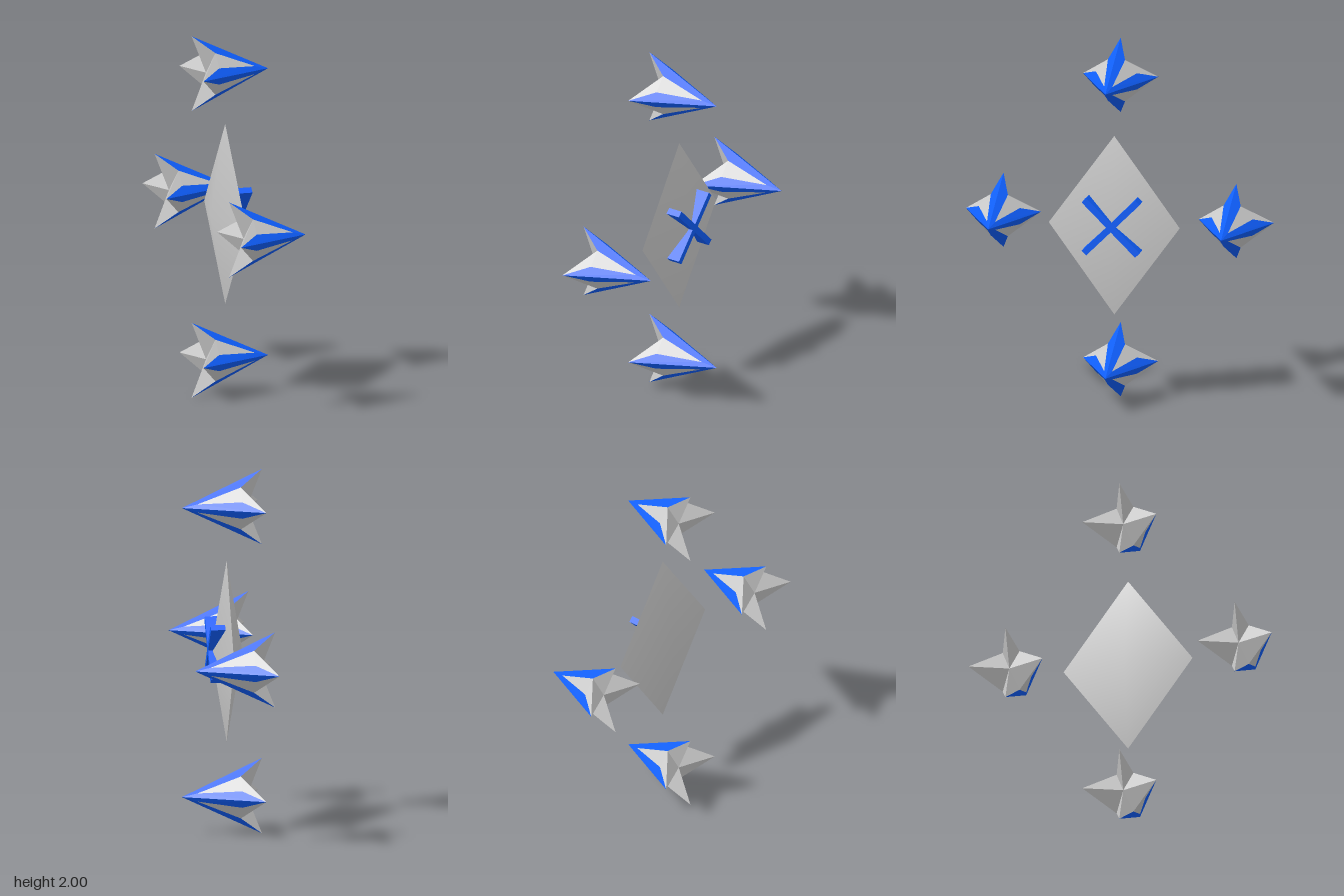
import * as THREE from 'three';

const grey = new THREE.MeshStandardMaterial({ color: 0xcccccc, flatShading: true });
const greySmooth = new THREE.MeshStandardMaterial({ color: 0xcccccc });
const blue = new THREE.MeshStandardMaterial({ color: 0x0f5fff, flatShading: true });

// Corner points of one quarter (+y, +z) of a dart
const P = {
  nose: [0.215, 0, 0],
  top: [-0.22, 0.207, 0],        // vertical fin tip
  side: [-0.22, 0, 0.207],       // horizontal fin tip
  topEdge: [-0.1, 0.115, 0.047], // where the vertical stripe meets the hull
  sideEdge: [-0.1, 0.045, 0.113],
  inner: [0.134, 0.022, 0.022],  // front point of the grey panel
  tail: [-0.138, 0, 0],          // centre of the hollow back
};
const stripeFaces = [
  ['nose', 'top', 'inner'], ['top', 'topEdge', 'inner'],
  ['nose', 'inner', 'side'], ['inner', 'sideEdge', 'side'],
];
const hullFaces = [
  ['topEdge', 'sideEdge', 'inner'], ['topEdge', 'side', 'sideEdge'],
  ['topEdge', 'top', 'tail'], ['side', 'topEdge', 'tail'],
];

// Mirrors quarter faces into all four quadrants, keeping them facing outward
function mirrored(faces) {
  const pos = [];
  for (const sy of [1, -1]) for (const sz of [1, -1]) {
    for (const face of faces) {
      const order = sy * sz > 0 ? face : [...face].reverse();
      for (const name of order) {
        const [x, y, z] = P[name];
        pos.push(x, y * sy, z * sz);
      }
    }
  }
  const g = new THREE.BufferGeometry();
  g.setAttribute('position', new THREE.Float32BufferAttribute(pos, 3));
  g.computeVertexNormals();
  return g;
}

// One smooth four-sided half of the central diamond, pointing along dir * x
function diamondHalf(dir) {
  const g = new THREE.BufferGeometry();
  g.setAttribute('position', new THREE.Float32BufferAttribute([
    dir * 0.085, 0, 0, 0, 0.497, 0, 0, 0, 0.36, 0, -0.497, 0, 0, 0, -0.36], 3));
  const index = [];
  for (let i = 0; i < 4; i++) {
    const a = 1 + i, b = 1 + (i + 1) % 4;
    index.push(0, ...(dir > 0 ? [a, b] : [b, a]));
  }
  g.setIndex(index);
  g.computeVertexNormals();
  return g;
}

function addMesh(parent, name, geometry, material) {
  const m = new THREE.Mesh(geometry, material);
  m.name = name;
  parent.add(m);
  return m;
}

export function createModel() {
  const model = new THREE.Group();
  model.name = 'dartFormation';

  // Four darts around the centre
  const stripes = mirrored(stripeFaces), hull = mirrored(hullFaces);
  const places = {
    topDart: [1.793, -0.006], bottomDart: [0.209, -0.006],
    frontDart: [1.01, 0.638], backDart: [1.01, -0.642],
  };
  for (const [name, [y, z]] of Object.entries(places)) {
    const dart = new THREE.Group();
    dart.name = name;
    addMesh(dart, 'hull', hull, grey);
    addMesh(dart, 'finStripes', stripes, blue);
    dart.position.set(0, y, z);
    model.add(dart);
  }

  // Central diamond shield
  const shield = new THREE.Group();
  shield.name = 'diamondShield';
  addMesh(shield, 'shieldFront', diamondHalf(1), greySmooth);
  addMesh(shield, 'shieldBack', diamondHalf(-1), greySmooth);
  shield.position.set(-0.028, 1.004, -0.008);
  model.add(shield);

  // Diagonal cross on the shield's front
  const cross = new THREE.Group();
  cross.name = 'cross';
  for (const s of [1, -1]) {
    const bar = addMesh(cross, 'crossBar', new THREE.BoxGeometry(0.08, 0.415, 0.035), blue);
    bar.rotation.x = s * Math.PI / 4;
  }
  cross.position.set(0.035, 1.014, -0.008);
  model.add(cross);

  return model;
}
